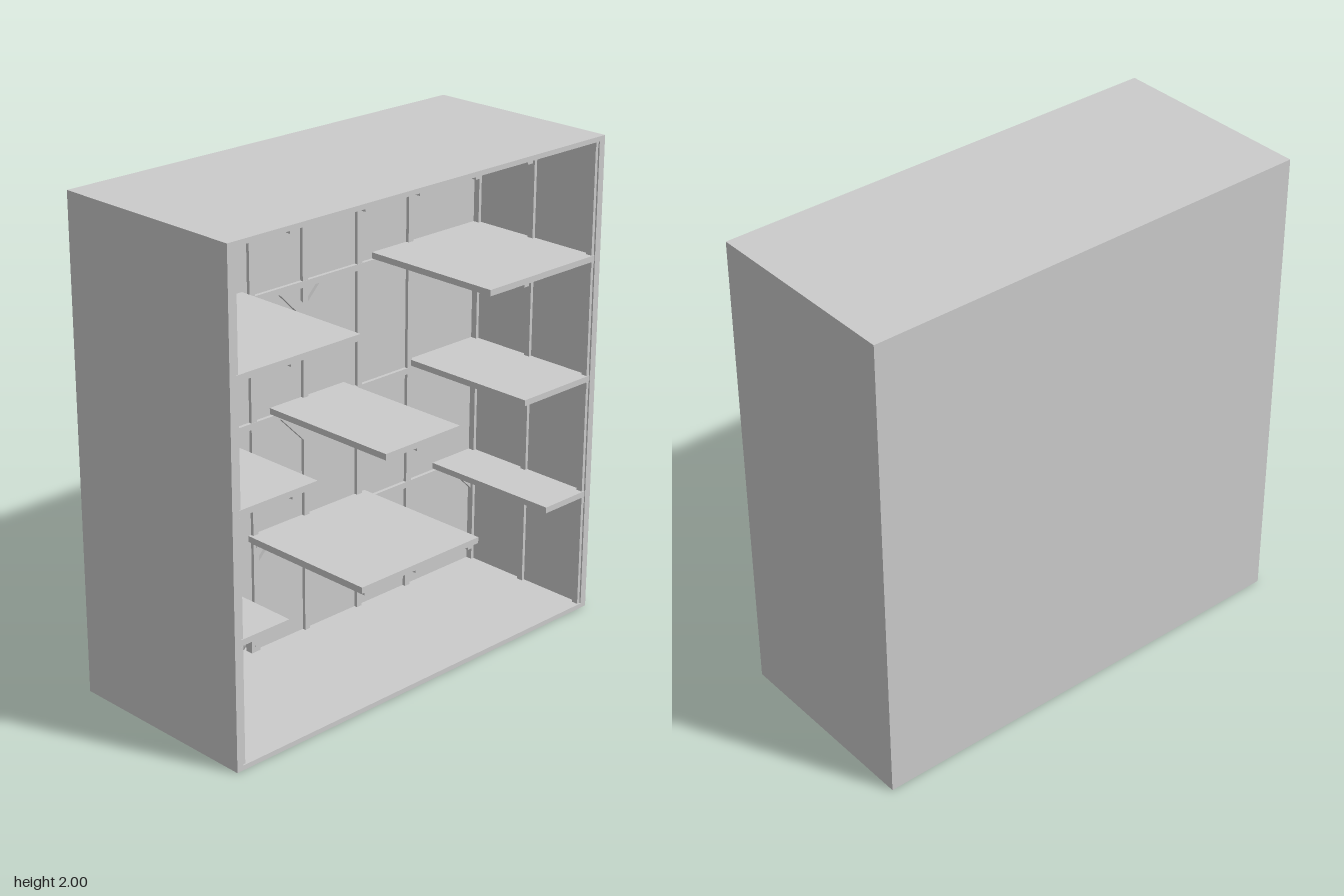
import * as THREE from 'three';

export function createModel() {
  const root = new THREE.Group();
  root.name = 'cutawayHouse';
  const mat = new THREE.MeshStandardMaterial({ color: 0xcccccc });

  const add = (name, geo, parent = root) => {
    const m = new THREE.Mesh(geo, mat);
    m.name = name;
    parent.add(m);
    return m;
  };
  // box given by its minimum and maximum corners
  const box = (name, x0, x1, y0, y1, z0, z1, parent) => {
    const m = add(name, new THREE.BoxGeometry(x1 - x0, y1 - y0, z1 - z0), parent);
    m.position.set((x0 + x1) / 2, (y0 + y1) / 2, (z0 + z1) / 2);
    return m;
  };
  const group = (name) => {
    const g = new THREE.Group();
    g.name = name;
    root.add(g);
    return g;
  };
  const extrude = (name, shape, z0, z1, parent) => {
    const geo = new THREE.ExtrudeGeometry(shape, { depth: z1 - z0, bevelEnabled: false, curveSegments: 16 });
    const m = add(name, geo, parent);
    m.position.z = z0;
    return m;
  };

  const X = 0.96, IN = 0.93, Z = 0.425, H = 2;
  const FLOOR = 0.02, CEIL = 1.98, WALL = -0.205, BEAM = 0.014;

  // outer shell, open at the front
  const shell = group('shell');
  box('floor', -X, X, 0, FLOOR, -Z, Z, shell);
  box('roof', -X, X, CEIL, H, -Z, Z, shell);
  box('rightWall', -X, -IN, FLOOR, CEIL, -Z, Z, shell);
  box('leftWall', IN, X, FLOOR, CEIL, -Z, Z, shell);
  box('backPanel', -IN, IN, FLOOR, CEIL, -Z, -Z + 0.02, shell);

  // arch outline standing on the floor
  const arch = (Kind, cx, r) => {
    const p = new Kind();
    p.moveTo(cx - r, FLOOR);
    p.lineTo(cx + r, FLOOR);
    p.lineTo(cx + r, 0.18);
    p.absarc(cx, 0.18, r, 0, Math.PI, false);
    p.lineTo(cx - r, FLOOR);
    return p;
  };
  const archX = [-0.532, -0.389];

  // inner back wall with two arched openings
  const wall = new THREE.Shape([
    [-IN, FLOOR - 0.002], [IN, FLOOR - 0.002], [IN, CEIL], [-IN, CEIL],
  ].map(([x, y]) => new THREE.Vector2(x, y)));
  archX.forEach((cx) => wall.holes.push(arch(THREE.Path, cx, 0.056)));
  extrude('innerBackWall', wall, WALL - 0.02, WALL);

  // arch surrounds
  const cellar = group('barrelCellar');
  archX.forEach((cx) => {
    const s = arch(THREE.Shape, cx, 0.0715);
    const r = 0.055;
    // replace the solid outline by a frame open at the floor
    const f = new THREE.Shape();
    f.moveTo(cx - 0.0715, FLOOR);
    f.lineTo(cx - r, FLOOR);
    f.lineTo(cx - r, 0.18);
    f.absarc(cx, 0.18, r, Math.PI, 0, true);
    f.lineTo(cx + r, FLOOR);
    s.getPoints(16).slice(1, -1).forEach((p) => f.lineTo(p.x, p.y));
    extrude('archSurround', f, WALL - 0.02, WALL + 0.015, cellar);
  });

  // stacked barrels lying along z
  const barrelGeo = new THREE.LatheGeometry(
    [[0, 0], [0.029, 0], [0.032, 0], [0.036, 0.05], [0.037, 0.08], [0.036, 0.11], [0.032, 0.16], [0, 0.16]]
      .map(([r, y]) => new THREE.Vector2(r, y)), 20);
  barrelGeo.rotateX(Math.PI / 2);
  const barrel = (x, y) => add('barrel', barrelGeo, cellar).position.set(x, y, -0.385);
  [-0.585, -0.511, -0.437, -0.363].forEach((x) => barrel(x, 0.055));
  [-0.548, -0.472, -0.397].forEach((x) => barrel(x, 0.12));

  // timber framing
  const frame = group('timberFrame');
  const posts = [-0.66, -0.303, -0.032, 0.258, 0.54];
  const beamTops = [0.495, 0.995, 1.5, 1.98];
  const W = 0.0135;
  posts.forEach((x) => box('backPost', x - W, x + W, FLOOR, CEIL, WALL, WALL + BEAM, frame));
  beamTops.forEach((y, i) => {
    if (i === 0) {
      // the lowest beam is interrupted above the cellar
      box('backBeam', -IN, posts[0], y - 0.026, y, WALL, WALL + BEAM + 0.001, frame);
      box('backBeam', posts[1], IN, y - 0.026, y, WALL, WALL + BEAM + 0.001, frame);
    } else box('backBeam', -IN, IN, y - 0.026, y, WALL, WALL + BEAM + 0.001, frame);
  });
  for (const s of [-1, 1]) {
    const a = s * IN, b = s * (IN - BEAM), x0 = Math.min(a, b), x1 = Math.max(a, b);
    for (const z of [WALL + 0.014, 0.1, 0.405])
      box('sidePost', x0, x1, FLOOR, CEIL, z - W, z + W, frame);
    beamTops.forEach((y) => box('sideBeam', x0, x1, y - 0.026, y, WALL, Z - 0.005, frame));
  }

  // diagonal braces under the beams
  const brace = (x, y, dir) => {
    const pts = [[0.06, 0], [0.12, 0], [0, -0.12], [0, -0.06]].map(([u, v]) => new THREE.Vector2(x + dir * u, y + v));
    extrude('brace', new THREE.Shape(pts), WALL, WALL + BEAM, frame);
  };
  const edge = IN - BEAM;
  beamTops.forEach((top, i) => {
    const y = top - 0.026;
    brace(edge, y, -1);
    if (i > 0) {
      brace(-edge, y, 1);
      brace(posts[2] - W, y, -1);
      brace(posts[2] + W, y, 1);
    } else {
      brace(posts[1] + W, y, 1);
      brace(posts[3] - W, y, -1);
      brace(posts[3] + W, y, 1);
    }
  });

  // floating floors with joists below
  const joists = (x0, x1, y) => posts.forEach((x) => {
    if (x - W > x0 && x + W < x1) box('joist', x - W, x + W, y - 0.012, y, WALL, Z - 0.005, frame);
  });
  const floors = [
    [0.5, -IN, -0.696], [0.5, -0.33, 0.3], [0.5, 0.696, IN],
    [1.0, -IN, -0.553], [1.0, -0.21, 0.183], [1.0, 0.548, IN],
    [1.5, -IN, -0.341], [1.5, 0.336, IN],
  ];
  floors.forEach(([y, x0, x1]) => {
    box('platform', x0, x1, y, y + 0.025, WALL, Z - 0.003);
    joists(x0, x1, y);
  });
  joists(-IN, IN, CEIL);

  // fireplace opening towards the room, with its chimney
  const fire = group('fireplace');
  const fx = -0.873, fz0 = 0.155, fz1 = 0.335;
  box('chimney', -IN, -0.9, 0.13, CEIL, fz0 + 0.012, fz1 - 0.012, fire);
  box('hearth', -IN, fx, FLOOR, 0.036, fz0, fz1, fire);
  box('lintel', -IN, fx, 0.11, 0.135, fz0, fz1, fire);
  box('jamb', -IN, fx, 0.036, 0.11, fz0, fz0 + 0.028, fire);
  box('jamb', -IN, fx, 0.036, 0.11, fz1 - 0.028, fz1, fire);

  // steps against the back wall
  const stairs = group('stairs');
  for (let i = 0; i < 5; i++) {
    const x1 = -0.697 - i * 0.0425;
    const x0 = i === 4 ? -IN : x1 - 0.0425;
    box('step', x0, x1, FLOOR, 0.042 + i * 0.0245, WALL, 0.0, stairs);
  }

  return root;
}
